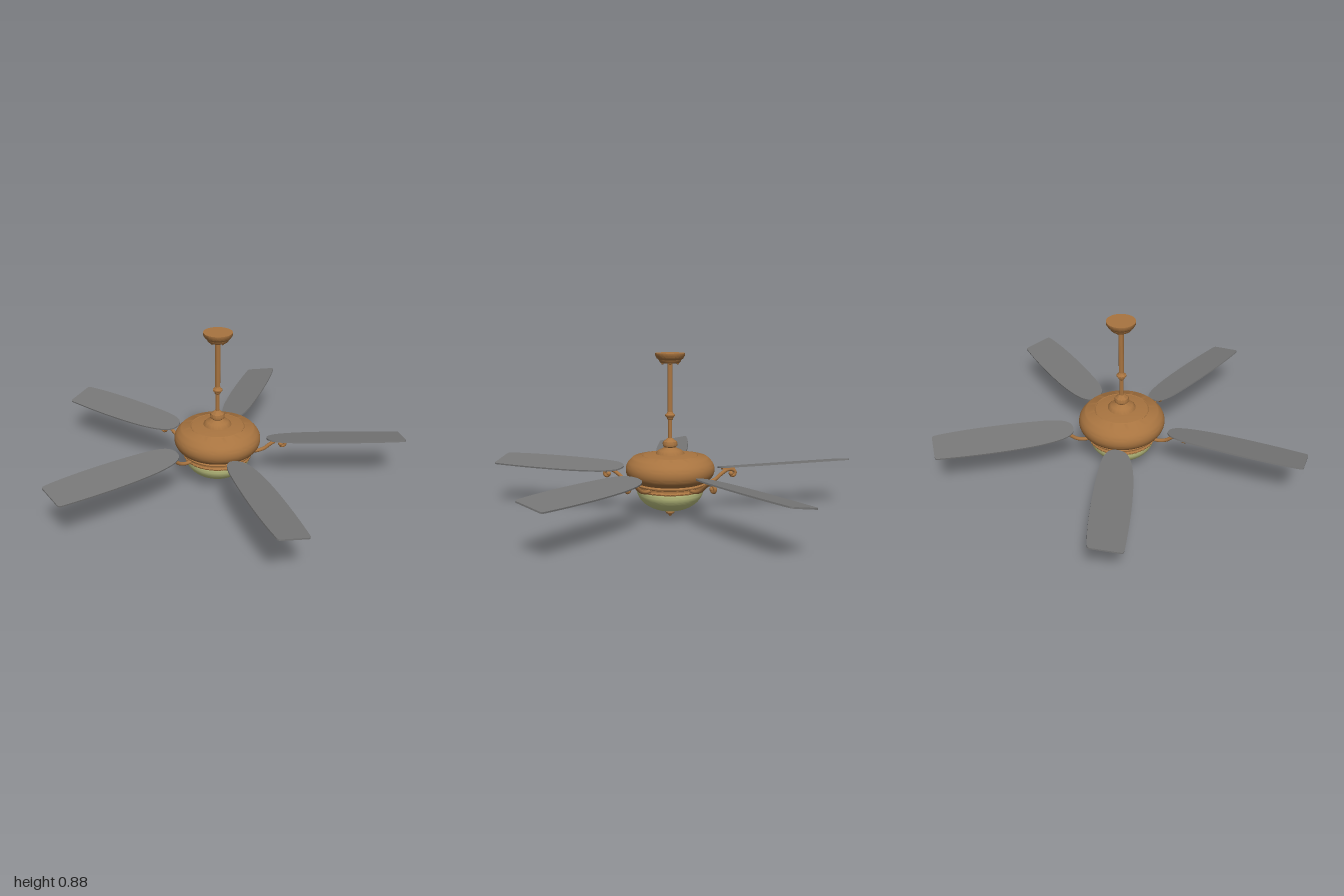
import * as THREE from 'three';
import { toCreasedNormals } from 'three/addons/utils/BufferGeometryUtils.js';

const bronze = new THREE.MeshStandardMaterial({ color: 0xa87440, side: THREE.DoubleSide });
const glass = new THREE.MeshStandardMaterial({ color: 0xc8cc88, side: THREE.DoubleSide });
const bladeGrey = new THREE.MeshStandardMaterial({ color: 0x777777 });

function add(parent, name, geometry, material) {
  const mesh = new THREE.Mesh(geometry, material);
  mesh.name = name;
  parent.add(mesh);
  return mesh;
}

// Turned part from [radius, height] pairs, bottom to top
function turned(parent, name, points, material = bronze, segments = 64) {
  const profile = points.map(([r, y]) => new THREE.Vector2(r, y));
  const geometry = toCreasedNormals(new THREE.LatheGeometry(profile, segments), 0.6);
  return add(parent, name, geometry, material);
}

// Points along a quarter ellipse, for rounded profiles
function arc(cx, cy, rx, ry, from, to, steps) {
  return Array.from({ length: steps + 1 }, (_, i) => {
    const a = from + (to - from) * i / steps;
    return [Math.max(0, cx + rx * Math.cos(a)), cy + ry * Math.sin(a)];
  });
}

// Small spheres set around a circle
function beadRing(parent, name, count, radius, y, size) {
  const ring = new THREE.Group();
  ring.name = name;
  const geometry = new THREE.SphereGeometry(size, 8, 6);
  for (let i = 0; i < count; i++) {
    const a = i / count * Math.PI * 2;
    add(ring, 'bead', geometry, bronze).position.set(Math.cos(a) * radius, y, Math.sin(a) * radius);
  }
  parent.add(ring);
}

// Blade outline: x across, y outward from the hub axis
function bladeGeometry() {
  const s = new THREE.Shape();
  s.moveTo(-0.01, 0.274);
  s.bezierCurveTo(0.05, 0.274, 0.07, 0.34, 0.08, 0.475);
  s.bezierCurveTo(0.088, 0.62, 0.078, 0.82, 0.057, 1.015);
  s.quadraticCurveTo(0.055, 1.03, 0.04, 1.03);
  s.lineTo(-0.1, 1.03);
  s.quadraticCurveTo(-0.115, 1.03, -0.117, 1.01);
  s.bezierCurveTo(-0.13, 0.86, -0.117, 0.62, -0.102, 0.475);
  s.bezierCurveTo(-0.09, 0.34, -0.07, 0.274, -0.01, 0.274);
  const g = new THREE.ExtrudeGeometry(s, { depth: 0.008, bevelEnabled: false, curveSegments: 16 });
  g.rotateX(Math.PI / 2).translate(0, 0.004, 0).rotateZ(-0.18);
  return g;
}

// Scrolled arm curving from the hub to beneath the blade
function armGeometry() {
  const path = [
    [0.17, 0.172], [0.22, 0.172], [0.26, 0.185], [0.295, 0.212], [0.33, 0.233], [0.36, 0.234],
    [0.378, 0.219], [0.372, 0.202], [0.357, 0.202], [0.353, 0.213],
  ].map(([r, y]) => new THREE.Vector3(0, y, r));
  return new THREE.TubeGeometry(new THREE.CatmullRomCurve3(path), 48, 0.01, 10);
}

export function createModel() {
  const fan = new THREE.Group();
  fan.name = 'ceilingFan';
  const body = new THREE.Group();
  body.name = 'body';
  body.position.set(0.003, 0, -0.073);
  fan.add(body);

  // Ceiling mount and hanging rod
  turned(body, 'canopy', [
    [0, 0.828], [0.05, 0.828], [0.056, 0.834], [0.06, 0.845], [0.07, 0.852],
    [0.074, 0.86], [0.078, 0.866], [0.078, 0.88], [0, 0.88],
  ]);
  beadRing(body, 'canopyScrews', 4, 0.04, 0.826, 0.007);
  turned(body, 'upperRod', [[0.014, 0.54], [0.014, 0.83]], bronze, 32);
  turned(body, 'lowerRod', [[0.011, 0.39], [0.011, 0.545]], bronze, 32);
  turned(body, 'rodCollar', [
    [0.011, 0.525], [0.016, 0.53], [0.018, 0.54], [0.026, 0.546], [0.026, 0.554], [0.018, 0.56], [0.014, 0.57],
  ], bronze, 32);

  // Coupling over the motor
  turned(body, 'coupling', [
    [0.078, 0.34], [0.075, 0.35], [0.06, 0.364], [0.04, 0.372], [0.032, 0.38],
    [0.038, 0.386], [0.04, 0.4], [0.036, 0.41], [0.024, 0.418], [0.018, 0.425], [0.011, 0.428],
  ]);

  // Rounded motor housing
  turned(body, 'motorHousing', [
    [0, 0.19], [0.18, 0.19],
    ...arc(0.168, 0.26, 0.07, 0.068, -1.3, 0.7, 16),
    [0.208, 0.318], [0.2, 0.325], [0.15, 0.335], [0.147, 0.332], [0.143, 0.336], [0.09, 0.344], [0, 0.345],
  ]);

  // Trim ring and glass bowl
  turned(body, 'trimRing', [
    [0.17, 0.15], [0.183, 0.152], [0.186, 0.16], [0.18, 0.167], [0.18, 0.175],
    [0.192, 0.18], [0.194, 0.187], [0.185, 0.195], [0.17, 0.198],
  ]);
  beadRing(body, 'trimBeads', 48, 0.184, 0.157, 0.005);
  turned(body, 'glassBowl', arc(0, 0.155, 0.18, 0.122, -Math.PI / 2, 0, 24), glass);
  turned(body, 'finial', [
    [0, 0], [0.007, 0.003], [0.009, 0.009], [0.014, 0.013], [0.023, 0.019],
    [0.025, 0.026], [0.018, 0.031], [0.03, 0.036], [0.028, 0.042], [0, 0.043],
  ], bronze, 32);

  // Five pitched blades, each on its own arm
  const blade = toCreasedNormals(bladeGeometry(), 0.5);
  const arm = armGeometry();
  for (let i = 0; i < 5; i++) {
    const unit = new THREE.Group();
    unit.name = 'bladeUnit' + (i + 1);
    unit.rotation.y = i * Math.PI * 2 / 5;
    add(unit, 'blade', blade, bladeGrey).position.y = 0.25;
    add(unit, 'arm', arm, bronze);
    const tip = add(unit, 'scrollTip', new THREE.SphereGeometry(0.013, 12, 8), bronze);
    tip.position.set(0, 0.212, 0.354);
    // Bracket joining arm and blade
    const bracket = add(unit, 'bracket', new THREE.BoxGeometry(0.03, 0.012, 0.07), bronze);
    bracket.position.set(0, 0.242, 0.335);
    bracket.rotation.z = -0.18;
    body.add(unit);
  }
  return fan;
}
